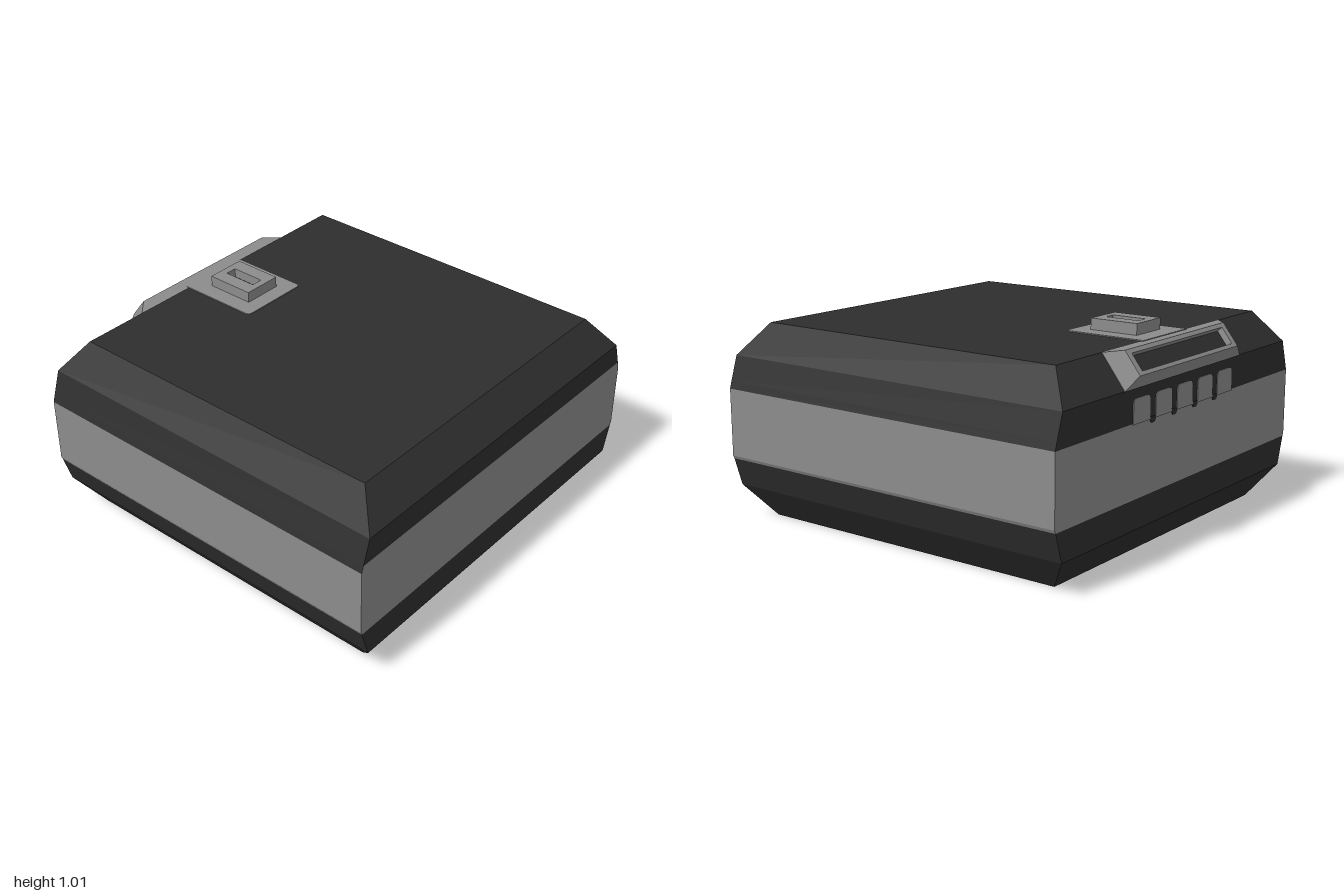
import * as THREE from 'three';

const dark = new THREE.MeshStandardMaterial({ color: 0x2e2e2e });
dark.name = 'charcoal';
const grey = new THREE.MeshStandardMaterial({ color: 0x8c8c8c });
grey.name = 'grey';
const palette = [dark, grey];

function add(parent, name, geometry, material) {
  const mesh = new THREE.Mesh(geometry, material);
  mesh.name = name;
  parent.add(mesh);
  return mesh;
}

// Joins four-cornered rings (anticlockwise seen from outside the end cap) into
// a flat-faced solid; pick(level, side) gives each face's palette index.
function loft(rings, pick) {
  const pos = [];
  const g = new THREE.BufferGeometry();
  const quad = (a, b, c, d, m) => {
    g.addGroup(pos.length / 3, 6, m);
    for (const p of [a, b, c, a, c, d]) pos.push(...p);
  };
  const last = rings.length - 1;
  for (let i = 0; i < last; i++) {
    for (let s = 0; s < 4; s++) {
      const t = (s + 1) % 4;
      quad(rings[i][s], rings[i][t], rings[i + 1][t], rings[i + 1][s], pick(i, s));
    }
  }
  const [a, b, c, d] = rings[0];
  quad(d, c, b, a, pick(-1, 0));
  quad(...rings[last], pick(last, 0));
  g.setAttribute('position', new THREE.Float32BufferAttribute(pos, 3));
  g.computeVertexNormals();
  return g;
}

// Rectangle outline with chosen corner radii at the low and high y ends
function plate(x0, x1, y0, y1, rLow, rHigh) {
  const s = new THREE.Shape();
  s.moveTo(x0 + rLow, y0);
  s.lineTo(x1 - rLow, y0);
  s.quadraticCurveTo(x1, y0, x1, y0 + rLow);
  s.lineTo(x1, y1 - rHigh);
  s.quadraticCurveTo(x1, y1, x1 - rHigh, y1);
  s.lineTo(x0 + rHigh, y1);
  s.quadraticCurveTo(x0, y1, x0, y1 - rHigh);
  s.lineTo(x0, y0 + rLow);
  s.quadraticCurveTo(x0, y0, x0 + rLow, y0);
  return s;
}

const extrude = (shape, depth) =>
  new THREE.ExtrudeGeometry(shape, { depth, bevelEnabled: false, curveSegments: 5 });

export function createModel() {
  const model = new THREE.Group();
  model.name = 'caseModel';

  // Chamfered body: [height, half width, front z, back z]
  const levels = [
    [0, 0.835, 0.845, -0.82], [0.16, 0.95, 0.967, -0.938],
    [0.30, 0.993, 0.967, -0.938], [0.315, 1, 0.967, -0.938],
    [0.645, 1, 0.967, -0.938], [0.68, 0.989, 0.967, -0.938],
    [0.80, 0.95, 0.967, -0.938], [0.955, 0.835, 0.845, -0.82],
  ];
  const rings = levels.map(([y, x, f, b]) => [[-x, y, f], [x, y, f], [x, y, b], [-x, y, b]]);
  // The grey band runs all round and stands higher on the front face
  const band = (i, s) => (i === 2 || i === 3 || (i === 4 && s === 0) ? 1 : 0);
  add(model, 'body', loft(rings, band), palette);

  // Five grey fingers rising from the band on the back, with slots between
  const comb = new THREE.Group();
  comb.name = 'backComb';
  for (let i = -2; i <= 2; i++) {
    const left = i === -2 ? -0.43 : i * 0.18 - 0.068;
    const right = i === 2 ? 0.43 : i * 0.18 + 0.068;
    const finger = add(comb, 'combFinger', extrude(plate(left, right, 0.64, 0.755, 0, 0.03), 0.004), grey);
    finger.position.z = -0.942;
  }
  for (let i = -1.5; i <= 1.5; i++) {
    const x = i * 0.18;
    const slot = add(comb, 'combSlotEnd', extrude(plate(x - 0.022, x + 0.022, 0.622, 0.65, 0.02, 0), 0.003), dark);
    slot.position.z = -0.941;
  }
  model.add(comb);

  // Raised frame on the rear chamfer: u runs down the slope, h stands off it
  const ring = (x, u0, u1, h) => {
    const at = (px, u) => [px, 0.955 - 0.79 * u + 0.612 * h, -0.82 - 0.612 * u - 0.79 * h];
    return [at(x, u1), at(-x, u1), at(-x, u0), at(x, u0)];
  };
  const frame = [
    ring(0.5, 0, 0.196, -0.005), ring(0.5, 0, 0.196, 0.001), ring(0.425, 0.037, 0.167, 0.058),
    ring(0.39, 0.058, 0.148, 0.058), ring(0.385, 0.062, 0.144, 0.03),
  ];
  add(model, 'rearFrame', loft(frame, (i) => (i === 4 ? 0 : 1)), palette);

  // Thin pad on the lid
  const pad = add(model, 'latchPad', extrude(plate(-0.185, 0.185, 0.41, 0.83, 0.025, 0), 0.007), grey);
  pad.rotation.x = -Math.PI / 2;
  pad.position.y = 0.953;

  // Latch block with a slot through it
  const block = plate(-0.1, 0.1, 0.49, 0.74, 0, 0);
  block.holes.push(plate(-0.029, 0.029, 0.527, 0.702, 0, 0));
  const latch = add(model, 'latchBlock', extrude(block, 0.06), grey);
  latch.rotation.x = -Math.PI / 2;
  latch.position.y = 0.954;
  const floor = add(model, 'latchSlotFloor', new THREE.BoxGeometry(0.058, 0.006, 0.175), dark);
  floor.position.set(0, 0.965, -0.6145);

  return model;
}
